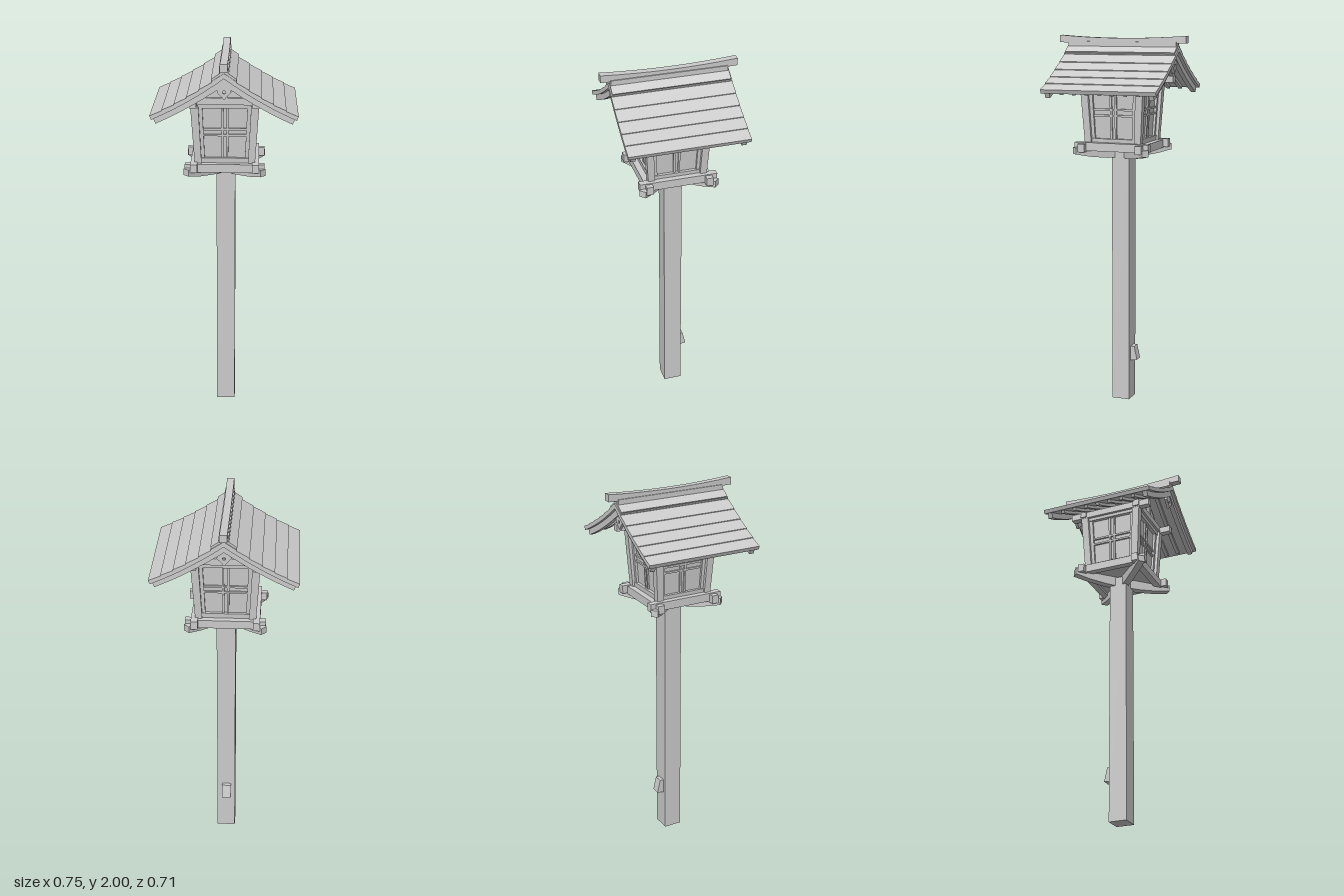
import * as THREE from 'three';

const mat = new THREE.MeshStandardMaterial({ color: 0xcccccc });

export function createModel() {
  const root = new THREE.Group();

  const add = (name, geo, parent = root) => {
    const m = new THREE.Mesh(geo, mat);
    m.name = name;
    parent.add(m);
    return m;
  };
  const boxGeo = (w, h, d, x, y, z) => new THREE.BoxGeometry(w, h, d).translate(x, y, z);
  // outline in x/y pushed along z, centred on z
  const slab = (pts, depth, z = 0) => new THREE.ExtrudeGeometry(
    new THREE.Shape(pts.map(p => new THREE.Vector2(p[0], p[1]))),
    { depth, bevelEnabled: false }).translate(0, 0, z - depth / 2);

  // ---- post and the small block on its back ----
  add('post', boxGeo(0.1, 1.4, 0.098, 0.003, 0.7, -0.006));
  add('postBlock', slab([[0.05, 0.3], [0.075, 0.3], [0.092, 0.225], [0.05, 0.22]], 0.05)
    .rotateY(Math.PI / 2));

  // ---- diagonal brackets and crossed base frame ----
  for (let k = 0; k < 4; k++) {
    const arm = slab([[0, 1.35], [0.1, 1.353], [0.2, 1.364], [0.282, 1.38], [0.282, 1.415], [0, 1.415]], 0.038);
    add('bracket', arm.rotateY(Math.PI / 4 + k * Math.PI / 2));
    add('baseBeam', boxGeo(0.415, 0.044, 0.036, 0, 1.414 + (k % 2) * 0.006, 0.16)
      .rotateY(k * Math.PI / 2));
  }
  add('floor', boxGeo(0.3, 0.02, 0.3, 0, 1.415, 0));

  // ---- lantern house, flaring outward toward the top ----
  const house = new THREE.Group();
  house.name = 'house';
  root.add(house);
  const flare = geo => {
    const p = geo.attributes.position;
    for (let i = 0; i < p.count; i++) {
      const s = 1 + (p.getY(i) - 1.42) * 0.4;
      p.setX(i, p.getX(i) * s);
      p.setZ(i, p.getZ(i) * s);
    }
    geo.computeVertexNormals();
    return geo;
  };
  for (let k = 0; k < 4; k++) {
    const part = (name, ...b) => add(name, flare(boxGeo(...b).rotateY(k * Math.PI / 2)), house);
    part('cornerPost', 0.036, 0.36, 0.036, 0.138, 1.6, 0.138);
    part('wallPanel', 0.25, 0.35, 0.012, 0, 1.595, 0.122);
    part('bottomRail', 0.25, 0.03, 0.022, 0, 1.447, 0.134);
    part('topRail', 0.25, 0.03, 0.022, 0, 1.745, 0.134);
    for (const s of [-1, 1]) {
      part('windowStile', 0.018, 0.28, 0.016, s * 0.112, 1.595, 0.132);
      part('windowBar', 0.01, 0.28, 0.012, s * 0.012, 1.595, 0.13);
      part('windowCrossbar', 0.22, 0.01, 0.012, 0, 1.6 + s * 0.016, 0.131);
    }
  }
  for (const s of [-1, 1]) {
    add('wallPlate', boxGeo(0.036, 0.036, 0.47, s * 0.16, 1.765, 0), house);
    add('tieBeam', boxGeo(0.37, 0.036, 0.034, 0, 1.77, s * 0.16), house);
    add('gable', slab([[-0.18, 1.78], [0.18, 1.78], [0.1, 1.82], [0, 1.895], [-0.1, 1.82]], 0.02, s * 0.15), house);
    add('gableStrut', boxGeo(0.03, 0.11, 0.014, 0, 1.835, s * 0.165), house);
  }

  // ---- roof: every layer follows one sagging curve ----
  const roof = new THREE.Group();
  roof.name = 'roof';
  root.add(roof);
  const roofPoint = (a, t) => {
    const m = 0.725 - 0.78 * a, n = Math.hypot(1, m);
    const y = 1.945 - 0.725 * a + 0.39 * a * a;
    return a === 0 ? [0, y - t * n] : [a - t * m / n, y - t / n];
  };
  // layer between offsets t0 and t1 below the curve, reaching out to a1 on both sides
  const layer = (t0, t1, a1, depth, z = 0, stepped = false) => {
    const top = [], under = [], n = 6;
    for (let i = 0; i <= n; i++) {
      const a = a1 * i / n;
      if (stepped && i > 0 && i < n) top.push(roofPoint(a, t0 - 0.002), roofPoint(a + 0.001, t0 + 0.002));
      else top.push(roofPoint(a, t0));
      under.push(roofPoint(a, t1));
    }
    const flip = p => [-p[0], p[1]];
    const left = top.slice(1).map(flip).reverse();
    const leftUnder = under.slice(1).map(flip);
    return slab([...left, ...top, ...under.reverse(), ...leftUnder], depth, z);
  };
  add('roofBoards', layer(0, 0.022, 0.373, 0.63, 0, true), roof);
  add('ridgeFlashing', layer(-0.012, 0.004, 0.058, 0.618), roof);
  for (const s of [-1, 1]) {
    add('bargeboard', layer(0.02, 0.052, 0.365, 0.026, s * 0.285), roof);
    // pendant under the gable peak
    const pendant = new THREE.Shape([[-0.03, 1.885], [-0.036, 1.845], [-0.016, 1.825], [0, 1.805],
      [0.016, 1.825], [0.036, 1.845], [0.03, 1.885]].map(p => new THREE.Vector2(...p)));
    pendant.holes.push(new THREE.Path().absarc(0, 1.845, 0.008, 0, Math.PI * 2, true));
    add('gablePendant', new THREE.ExtrudeGeometry(pendant, { depth: 0.016, bevelEnabled: false, curveSegments: 6 })
      .translate(0, 0, s * 0.284 - 0.008), roof);
  }
  for (let i = -3; i <= 3; i++) add('rafter', layer(0.02, 0.038, 0.355, 0.02, i * 0.07), roof);

  // ---- ridge ----
  add('ridgeBlock', boxGeo(0.05, 0.035, 0.61, 0, 1.95, 0), roof);
  const ridge = [];
  const steps = 8;
  const lift = z => 0.014 * (z / 0.357) ** 2;
  for (let i = 0; i <= steps; i++) {
    const z = -0.357 + 0.714 * i / steps;
    ridge.push([z, 1.957 + lift(z) * 0.3]);
  }
  for (let i = steps; i >= 0; i--) {
    const z = -0.357 + 0.714 * i / steps;
    ridge.push([z, 1.986 + lift(z)]);
  }
  add('ridgeBeam', slab(ridge, 0.038).rotateY(Math.PI / 2), roof);

  return root;
}
